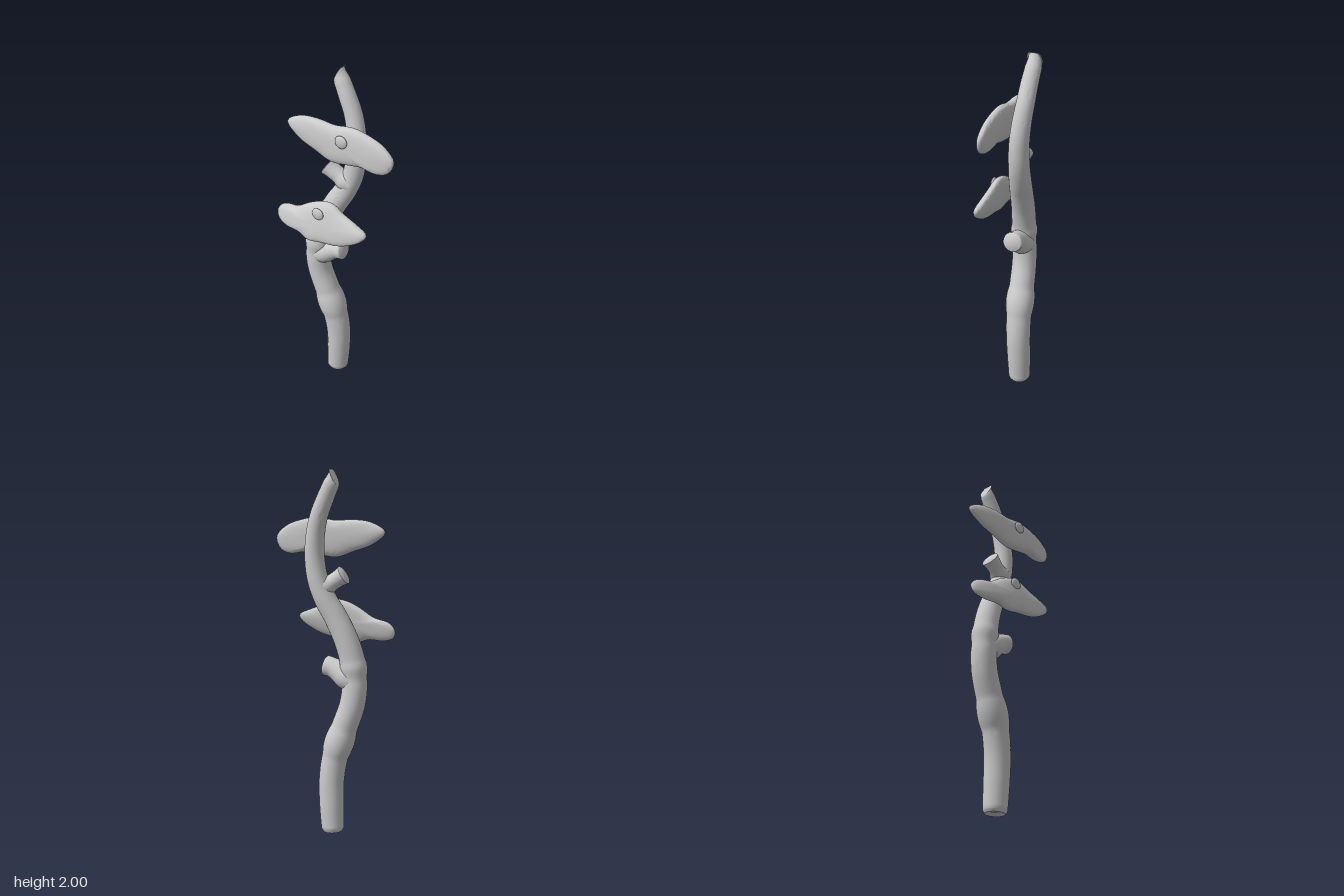
import * as THREE from 'three';
import { toCreasedNormals } from 'three/addons/utils/BufferGeometryUtils.js';

const material = new THREE.MeshStandardMaterial({ color: 0xcccccc });

// Skin over a list of closed rings with equal point counts
function skin(rings, crease) {
  const n = rings[0].length, pos = [], index = [];
  rings.forEach(r => r.forEach(p => pos.push(p.x, p.y, p.z)));
  for (let i = 0; i < rings.length - 1; i++) {
    for (let j = 0; j < n; j++) {
      const a = i * n + j, b = i * n + (j + 1) % n;
      index.push(a, b, b + n, a, b + n, a + n);
    }
  }
  const g = new THREE.BufferGeometry();
  g.setAttribute('position', new THREE.Float32BufferAttribute(pos, 3));
  g.setIndex(index);
  return toCreasedNormals(g, crease);
}

function addMesh(group, name, geometry) {
  const mesh = new THREE.Mesh(geometry, material);
  mesh.name = name;
  group.add(mesh);
  return mesh;
}

// Round limb along points [x, y, z, radius], with softly rounded end caps
function limb(points, steps, adjust = p => p) {
  const sides = 28;
  const curve = new THREE.CatmullRomCurve3(points.map(p => new THREE.Vector3(p[0], p[1], p[2])));
  const radii = new THREE.CatmullRomCurve3(points.map(p => new THREE.Vector3(p[3], 0, 0)));
  const frames = curve.computeFrenetFrames(steps);
  const ring = (i, scale, shift) => {
    const u = curve.getUtoTmapping(i / steps);
    const c = curve.getPoint(u).addScaledVector(frames.tangents[i], shift);
    const r = radii.getPoint(u).x * scale;
    return Array.from({ length: sides }, (_, j) => {
      const a = j / sides * Math.PI * 2;
      return adjust(c.clone()
        .addScaledVector(frames.normals[i], r * Math.cos(a))
        .addScaledVector(frames.binormals[i], r * Math.sin(a)));
    });
  };
  const rings = [ring(0, 0, 0.006), ring(0, 0.6, 0), ring(0, 0.85, 0.001), ring(0, 0.96, 0.012)];
  for (let i = 1; i < steps; i++) rings.push(ring(i, 1, 0));
  rings.push(ring(steps, 0.97, -0.004), ring(steps, 0.88, 0), ring(steps, 0, 0));
  return skin(rings, 0.8);
}

// Lens-like shelf: clockwise outline, swelling about a curved middle sheet
function shelf(outline, half, middle) {
  const curve = new THREE.CatmullRomCurve3(outline.map(p => new THREE.Vector3(p[0], p[1], 0)), true);
  const edge = curve.getSpacedPoints(80).slice(0, 80);
  const centre = edge.reduce((s, p) => s.add(p), new THREE.Vector3()).divideScalar(80);
  const rings = [], steps = 22;
  for (let i = 0; i <= steps; i++) {
    const t = i / steps * Math.PI;
    const s = Math.pow(Math.max(0, Math.sin(t)), 0.75);
    const d = Math.sign(Math.cos(t)) * Math.pow(Math.abs(Math.cos(t)), 0.8);
    rings.push(edge.map(p => {
      const q = centre.clone().lerp(p, s);
      q.z = middle(q.x, q.y) + half * d;
      return q;
    }));
  }
  return skin(rings, 1.2);
}

export function createModel() {
  const model = new THREE.Group();

  // Winding stem, its tip cut off at a slant facing right
  const slantCut = p => {
    const over = p.y - 1.9 - 2.1 * (p.x + 0.09);
    if (p.y > 1.7 && over > 0) {
      p.x += 0.45 * over / 1.835;
      p.y -= 0.89 * over / 1.835;
    }
    p.y = Math.min(p.y, 2);
    return p;
  };
  addMesh(model, 'stem', limb([
    [-0.03, 0, -0.045, 0.064], [-0.022, 0.15, -0.044, 0.069], [-0.02, 0.3, -0.04, 0.071],
    [-0.04, 0.44, -0.035, 0.073], [-0.09, 0.6, -0.03, 0.073], [-0.136, 0.74, -0.025, 0.071],
    [-0.148, 0.86, -0.02, 0.07], [-0.135, 0.98, -0.022, 0.07], [-0.1, 1.1, -0.032, 0.067],
    [-0.045, 1.22, -0.045, 0.064], [0.01, 1.32, -0.06, 0.061], [0.048, 1.42, -0.07, 0.057],
    [0.064, 1.54, -0.076, 0.054], [0.055, 1.66, -0.086, 0.051], [0.03, 1.76, -0.096, 0.048],
    [-0.008, 1.85, -0.1, 0.046], [-0.047, 1.93, -0.105, 0.043], [-0.115, 2.07, -0.105, 0.043],
  ], 120, slantCut));

  // Cut side branches, flared where they leave the stem
  addMesh(model, 'lowerBranchStub', limb([
    [-0.15, 0.865, -0.02, 0.066], [-0.1, 0.89, -0.02, 0.07],
    [-0.05, 0.92, -0.02, 0.06], [-0.01, 0.938, -0.02, 0.055], [0.027, 0.945, -0.02, 0.057],
  ], 20));
  addMesh(model, 'upperBranchStub', limb([
    [0.05, 1.37, -0.065, 0.056], [0.01, 1.385, -0.055, 0.058],
    [-0.03, 1.41, -0.045, 0.045], [-0.06, 1.43, -0.04, 0.046], [-0.092, 1.45, -0.038, 0.054],
  ], 20));

  // Flat shelves on the front of the stem
  addMesh(model, 'upperShelf', shelf([
    [-0.305, 1.675], [-0.23, 1.725], [-0.12, 1.74], [-0.02, 1.735], [0.09, 1.75], [0.19, 1.735],
    [0.28, 1.7], [0.337, 1.64], [0.315, 1.575], [0.26, 1.55], [0.17, 1.56], [0.09, 1.548],
    [-0.02, 1.537], [-0.12, 1.57], [-0.23, 1.61],
  ], 0.036, (x, y) => 0.021 - 0.08 * (y - 1.65) - (x < 0 ? 0.12 * x * x : 0)));
  addMesh(model, 'lowerShelf', shelf([
    [-0.343, 1.145], [-0.31, 1.185], [-0.215, 1.21], [-0.125, 1.265], [-0.055, 1.295], [0.01, 1.302],
    [0.09, 1.265], [0.17, 1.235], [0.237, 1.2], [0.22, 1.165], [0.155, 1.12], [0.08, 1.09],
    [-0.02, 1.075], [-0.11, 1.06], [-0.18, 1.08], [-0.28, 1.082], [-0.333, 1.105],
  ], 0.036, (x, y) => 0.102 - 0.23 * (y - 1.18) - (x < 0 ? 0.3 * x * x : 0)));

  // Small round knob on each shelf
  [['upperKnob', 0.055, 1.683, 0.06], ['lowerKnob', -0.048, 1.245, 0.123]].forEach(([name, x, y, z]) => {
    const knob = addMesh(model, name, new THREE.SphereGeometry(0.035, 24, 16));
    knob.scale.z = 0.36;
    knob.position.set(x, y, z);
  });

  return model;
}
